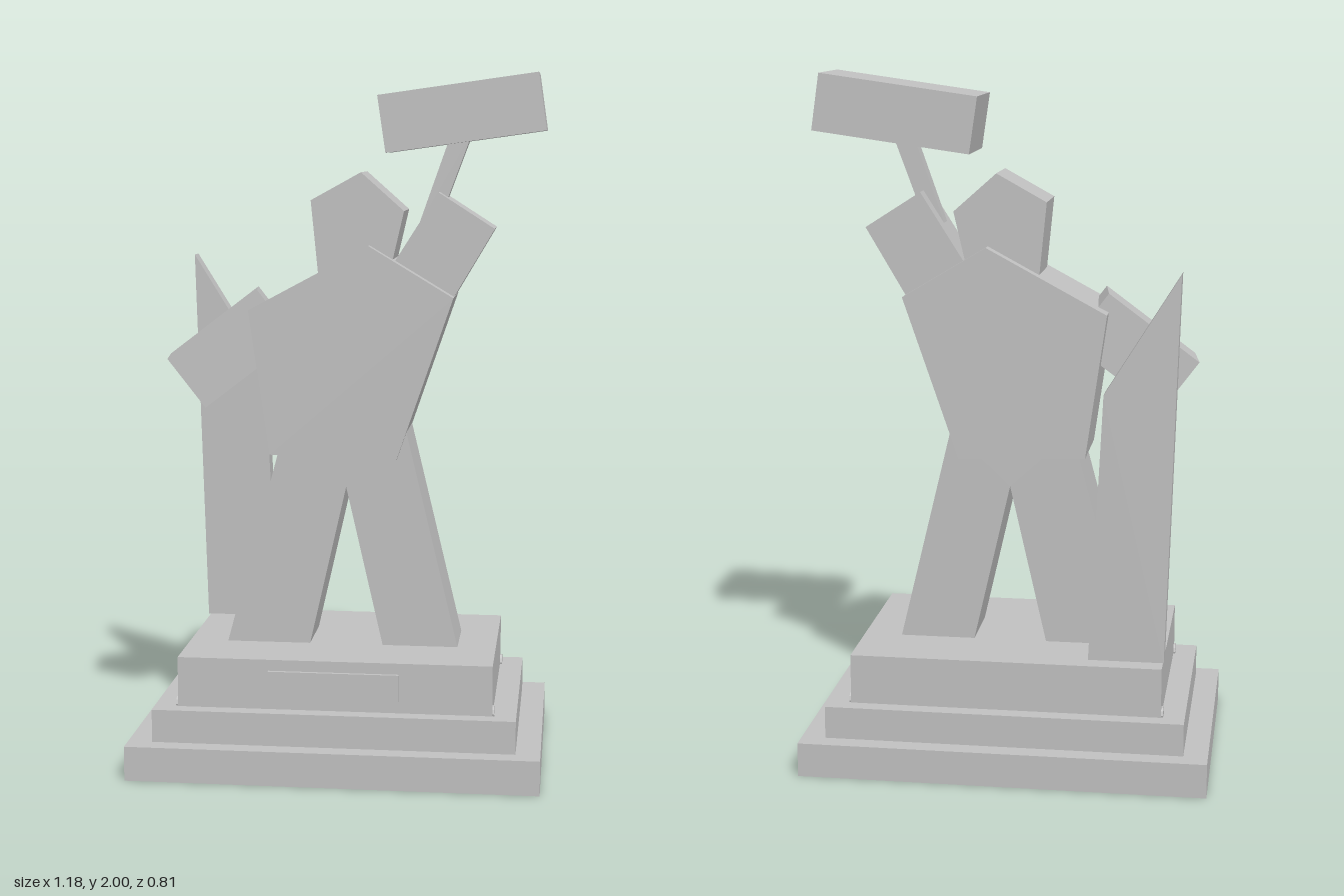
import * as THREE from 'three';

export function createModel() {
  const model = new THREE.Group();
  model.name = 'statue';
  const stone = new THREE.MeshStandardMaterial({ color: 0xc0c0c0, flatShading: true });
  stone.name = 'grey stone';

  const add = (name, geometry, x = 0, y = 0, z = 0) => {
    const mesh = new THREE.Mesh(geometry, stone);
    mesh.name = name;
    mesh.position.set(x, y, z);
    model.add(mesh);
    return mesh;
  };
  // Box standing between two heights
  const slab = (name, w, d, y0, y1, x = 0, z = 0) =>
    add(name, new THREE.BoxGeometry(w, y1 - y0, d), x, (y0 + y1) / 2, z);
  // Front outline cut out of a slab of the given depth
  const cutout = (name, points, depth, z = 0) => {
    const shape = new THREE.Shape(points.map(([x, y]) => new THREE.Vector2(x, y)));
    const geometry = new THREE.ExtrudeGeometry(shape, { depth, bevelEnabled: false });
    return add(name, geometry, 0, 0, z - depth / 2);
  };

  // Stepped plinth with plaque and small corner studs
  slab('plinthBottom', 1.18, 0.81, 0, 0.1);
  slab('plinthMiddle', 1.04, 0.7, 0.1, 0.195);
  slab('plinthTop', 0.904, 0.608, 0.195, 0.34);
  slab('plaque', 0.375, 0.012, 0.23, 0.308, -0.002, 0.309);
  for (const sx of [-1, 1]) {
    for (const sz of [-1, 1]) {
      const stud = add('cornerStud', new THREE.CylinderGeometry(0.021, 0.021, 0.014, 10),
        sx * 0.451, 0.2, sz * 0.282);
      stud.rotation.z = Math.PI / 2;
    }
  }

  // Body
  cutout('legs', [[-0.34, 0.34], [-0.095, 0.34], [0.012, 0.81], [0.12, 0.34],
    [0.34, 0.34], [0.187, 0.975], [-0.17, 0.975]], 0.2);
  cutout('torso', [[-0.21, 0.905], [0.16, 0.893], [0.322, 1.365], [0.078, 1.512],
    [-0.27, 1.325]], 0.253);
  cutout('head', [[-0.07, 1.42], [0.14, 1.45], [0.177, 1.61], [0.053, 1.72],
    [-0.092, 1.64]], 0.176);

  // Raised arm holding a hammer
  cutout('raisedArm', [[0.14, 1.45], [0.318, 1.36], [0.436, 1.56], [0.275, 1.663]], 0.155);
  cutout('hammerHandle', [[0.215, 1.57], [0.27, 1.57], [0.37, 1.84], [0.31, 1.84]], 0.048);
  cutout('hammerHead', [[0.126, 1.775], [0.58, 1.838], [0.556, 2], [0.102, 1.937]], 0.238);

  // Lowered arm, turned slightly about the vertical
  const along = new THREE.Vector3(0.26, 0.2, -0.035).normalize();
  const across = new THREE.Vector3(0.02, 0, 0.15).normalize();
  const up = new THREE.Vector3().crossVectors(across, along).normalize();
  across.crossVectors(along, up);
  const [length, thickness, width] = [0.33, 0.18, 0.155];
  const arm = add('loweredArm', new THREE.BoxGeometry(length, thickness, width), -0.53, 1.18, -0.035);
  arm.position.addScaledVector(along, length / 2).addScaledVector(up, -thickness / 2)
    .addScaledVector(across, width / 2);
  arm.quaternion.setFromRotationMatrix(new THREE.Matrix4().makeBasis(along, up, across));

  // Tall pointed slab behind the figure
  cutout('backSlab', [[-0.455, 0.345], [-0.237, 0.345], [-0.275, 1.122], [-0.488, 1.465]], 0.058, -0.234);

  return model;
}
